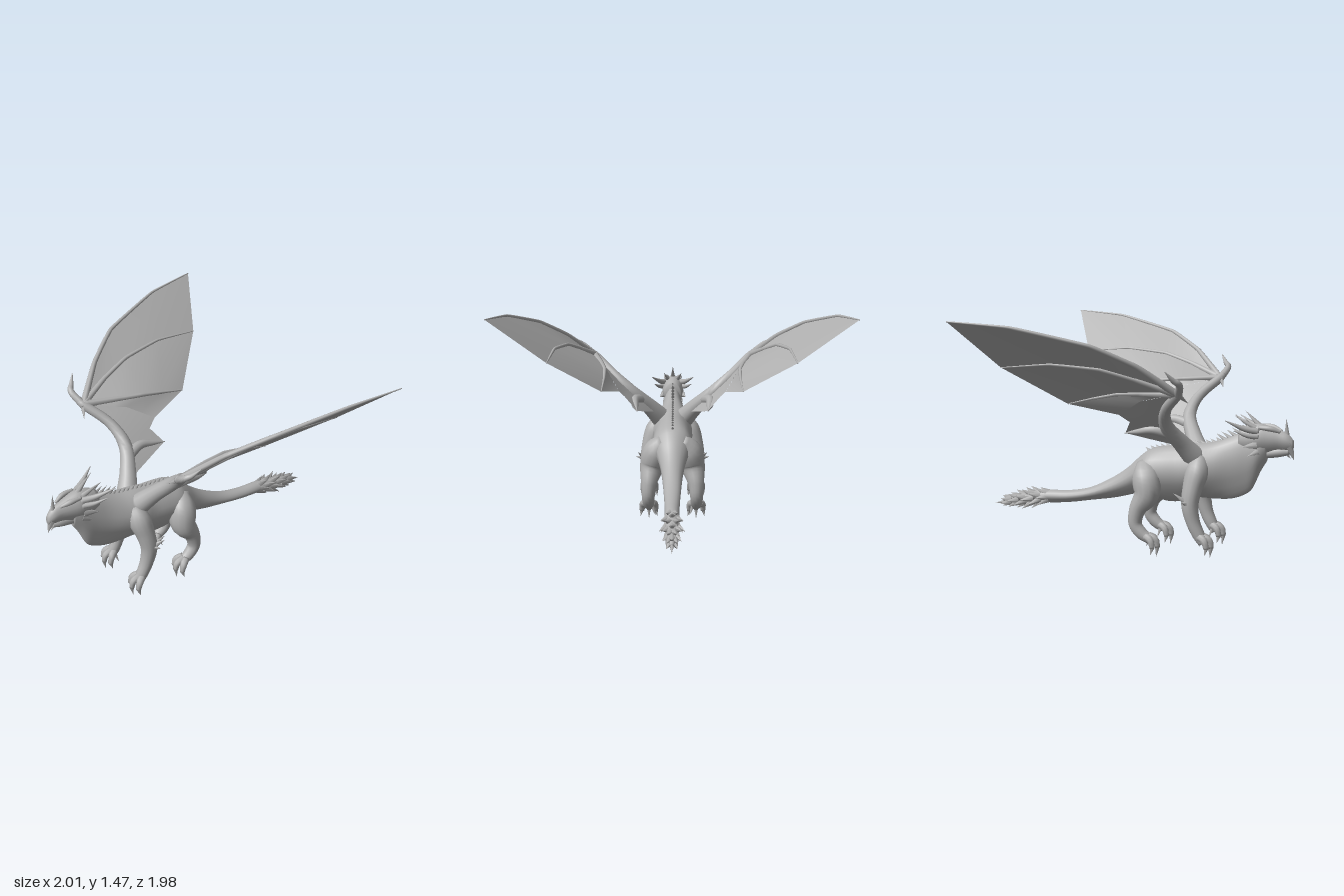
import * as THREE from 'three';

const grey = new THREE.MeshStandardMaterial({ color: 0xb0b0b0, side: THREE.DoubleSide });
grey.name = 'stone grey';
const V = (x, y, z) => new THREE.Vector3(x, y, z);

// Skin a list of equal-sized vertex rings into a capped smooth surface
function skin(rings) {
  const n = rings[0].length, pos = [], idx = [];
  rings.forEach(r => r.forEach(p => pos.push(p.x, p.y, p.z)));
  for (let i = 0; i < rings.length - 1; i++) for (let j = 0; j < n; j++) {
    const a = i * n + j, b = i * n + (j + 1) % n;
    idx.push(a, b, a + n, b, b + n, a + n);
  }
  [0, rings.length - 1].forEach((i, end) => {
    const c = rings[i].reduce((s, p) => s.add(p), V(0, 0, 0)).divideScalar(n), k = pos.length / 3;
    pos.push(c.x, c.y, c.z);
    for (let j = 0; j < n; j++) {
      const a = i * n + j, b = i * n + (j + 1) % n;
      end ? idx.push(k, a, b) : idx.push(k, b, a);
    }
  });
  return geometry(pos, idx);
}

function geometry(pos, idx) {
  const g = new THREE.BufferGeometry();
  g.setAttribute('position', new THREE.Float32BufferAttribute(pos, 3));
  g.setIndex(idx);
  g.computeVertexNormals();
  return g;
}

const smooth = (pts, tension = 0.5) => new THREE.CatmullRomCurve3(pts, false, 'catmullrom', tension);

// Body along z from rows of [z, top, bottom, half width]; belly narrows by keel
function trunk(rows, keel, steps) {
  const c = smooth(rows.map(r => V(r[0], r[1], r[2]))), w = smooth(rows.map(r => V(r[3], 0, 0)));
  const rings = [];
  for (let i = 0; i <= steps; i++) {
    const p = c.getPoint(i / steps), rx = w.getPoint(i / steps).x, ring = [];
    for (let j = 0; j < 20; j++) {
      const a = j / 20 * Math.PI * 2, s = Math.sin(a);
      const k = s < 0 ? 1 + s * keel : 1;
      ring.push(V(Math.cos(a) * rx * k, (p.y + p.z) / 2 + s * (p.y - p.z) / 2, p.x));
    }
    rings.push(ring);
  }
  return skin(rings);
}

// Tapered tube through rows of [x, y, z, radius]; side mirrors x
function limb(rows, side = 1, steps = 16, sides = 10, tension = 0.5) {
  const c = smooth(rows.map(r => V(r[0] * side, r[1], r[2])), tension), w = smooth(rows.map(r => V(r[3], 0, 0)));
  const rings = [];
  for (let i = 0; i <= steps; i++) {
    const p = c.getPoint(i / steps), t = c.getTangent(i / steps), r = Math.max(w.getPoint(i / steps).x, 0.001);
    const ref = Math.abs(t.x) > 0.9 ? V(0, 1, 0) : V(1, 0, 0);
    const u = ref.addScaledVector(t, -ref.dot(t)).normalize(), v = t.clone().cross(u);
    rings.push(Array.from({ length: sides }, (_, j) => {
      const a = j / sides * Math.PI * 2;
      return p.clone().addScaledVector(u, Math.cos(a) * r).addScaledVector(v, Math.sin(a) * r);
    }));
  }
  return skin(rings);
}

// Thin sheet between two matching polylines
function sheet(a, b, side) {
  const pos = [], idx = [];
  a.forEach((p, i) => [p, b[i]].forEach(q => pos.push(q[0] * side, q[1], q[2])));
  for (let i = 0; i < a.length - 1; i++) {
    const k = i * 2;
    idx.push(k, k + 1, k + 2, k + 1, k + 3, k + 2);
  }
  return geometry(pos, idx);
}

function spike(base, tip, r, sides = 6) {
  const a = V(...base), d = V(...tip).sub(a);
  const g = new THREE.ConeGeometry(r, d.length(), sides);
  g.translate(0, d.length() / 2, 0);
  g.applyQuaternion(new THREE.Quaternion().setFromUnitVectors(V(0, 1, 0), d.normalize()));
  return g.translate(a.x, a.y, a.z);
}

export function createModel() {
  const model = new THREE.Group();
  model.name = 'dragon';
  const add = (name, g, parent = model) => {
    const m = new THREE.Mesh(g, grey);
    m.name = name;
    parent.add(m);
  };

  // Tail, torso, deep chest and neck
  const body = [
    [-0.92, 0.265, 0.24, 0.012], [-0.75, 0.32, 0.265, 0.035], [-0.6, 0.345, 0.262, 0.042],
    [-0.45, 0.353, 0.275, 0.045], [-0.3, 0.385, 0.3, 0.052], [-0.15, 0.46, 0.325, 0.064],
    [-0.05, 0.53, 0.35, 0.08], [0.03, 0.605, 0.37, 0.105], [0.1, 0.655, 0.36, 0.13],
    [0.2, 0.68, 0.33, 0.13], [0.3, 0.69, 0.335, 0.125], [0.4, 0.705, 0.365, 0.135],
    [0.5, 0.72, 0.365, 0.113], [0.6, 0.755, 0.37, 0.085], [0.68, 0.79, 0.395, 0.07],
    [0.74, 0.805, 0.44, 0.063], [0.79, 0.81, 0.55, 0.058], [0.83, 0.8, 0.62, 0.045]];
  add('body', trunk(body, 0.4, 64));

  // Head with tapering snout, beak and lower jaw
  add('head', trunk([
    [0.66, 0.81, 0.66, 0.055], [0.72, 0.835, 0.64, 0.07], [0.78, 0.845, 0.645, 0.072],
    [0.84, 0.83, 0.66, 0.058], [0.9, 0.81, 0.68, 0.042], [0.95, 0.79, 0.685, 0.034],
    [0.985, 0.75, 0.69, 0.018]], 0.3, 20));
  add('lowerJaw', limb([[0, 0.66, 0.8, 0.03], [0, 0.675, 0.9, 0.03], [0, 0.68, 0.96, 0.018]]));
  add('beak', spike([0, 0.73, 0.955], [0, 0.63, 0.99], 0.032));
  add('chinSpike', spike([0, 0.7, 0.92], [0, 0.64, 0.97], 0.025));
  add('noseHorn', spike([0, 0.77, 0.945], [0, 0.88, 0.94], 0.018));
  add('crownHorn', spike([0, 0.82, 0.79], [0, 0.92, 0.69], 0.02));

  // Ridge of low plates along the neck and back
  const ridge = new THREE.Group();
  ridge.name = 'backRidge';
  model.add(ridge);
  for (let i = 0; i < 20; i++) {
    const z = 0.7 - i * 0.032;
    const k = body.findIndex(r => r[0] > z), a = body[k - 1], b = body[k];
    const y = a[1] + (b[1] - a[1]) * (z - a[0]) / (b[0] - a[0]);
    const h = z > 0.55 ? 0.06 : 0.03;
    add('ridgePlate', spike([0, y - 0.012, z], [0, y + h * 0.45, z - h], 0.014, 5), ridge);
  }

  // Rings of broad spikes around the tail tip
  const club = new THREE.Group();
  club.name = 'tailSpikes';
  model.add(club);
  for (let i = 0; i < 6; i++) {
    const z = -0.6 - i * 0.052, y = 0.305 - i * 0.009;
    const r = [0.062, 0.075, 0.074, 0.062, 0.05, 0.036][i];
    for (let j = 0; j < 6; j++) {
      const a = (j + (i % 2) / 2) / 6 * Math.PI * 2, c = Math.cos(a), s = Math.sin(a);
      add('tailSpike', spike([c * r * 0.3, y + s * r * 0.3, z], [c * r, y - 0.008 + s * r, z - 0.07], 0.027, 5), club);
    }
  }
  add('tailPoint', spike([0, 0.26, -0.85], [0, 0.23, -0.985], 0.022));

  for (const s of [1, -1]) {
    const side = s > 0 ? 'left' : 'right';
    const group = name => {
      const g = new THREE.Group();
      g.name = side + name;
      model.add(g);
      return g;
    };
    const m = p => [p[0] * s, p[1], p[2]];

    // Horns, brow and cheek frill
    const horns = group('Horns');
    add('mainHorn', limb([[0.045, 0.8, 0.78, 0.02], [0.085, 0.82, 0.7, 0.016], [0.14, 0.87, 0.6, 0.002]], s), horns);
    add('sideHorn', limb([[0.055, 0.77, 0.78, 0.018], [0.09, 0.78, 0.72, 0.013], [0.125, 0.81, 0.65, 0.002]], s), horns);
    add('upperHorn', spike(m([0.03, 0.82, 0.76]), m([0.06, 0.89, 0.64]), 0.017), horns);
    add('cheekSpike', spike(m([0.055, 0.72, 0.77]), m([0.09, 0.71, 0.69]), 0.028), horns);
    add('jawSpike', spike(m([0.045, 0.68, 0.78]), m([0.07, 0.65, 0.72]), 0.022), horns);
    add('brow', limb([[0.028, 0.8, 0.91, 0.008], [0.046, 0.82, 0.85, 0.016], [0.05, 0.825, 0.78, 0.01]], s), horns);

    // Legs
    const front = group('FrontLeg'), hind = group('HindLeg');
    add('foreleg', limb([[0.07, 0.63, 0.43, 0.045], [0.11, 0.55, 0.425, 0.07], [0.145, 0.45, 0.405, 0.06],
      [0.163, 0.35, 0.395, 0.052], [0.163, 0.25, 0.415, 0.043], [0.16, 0.17, 0.45, 0.038], [0.16, 0.12, 0.48, 0.03]], s, 28, 14), front);
    for (const [x, y, z] of [[0.23, 0.42, 0.32], [0.245, 0.38, 0.36], [0.2, 0.425, 0.3]])
      add('elbowSpike', spike(m([0.18, 0.36, 0.39]), m([x, y, z]), 0.024), front);
    add('haunch', limb([[0.045, 0.57, 0.07, 0.05], [0.1, 0.49, 0.1, 0.088], [0.13, 0.39, 0.11, 0.08],
      [0.15, 0.3, 0.06, 0.053], [0.155, 0.21, 0.045, 0.042], [0.155, 0.15, 0.085, 0.038], [0.155, 0.115, 0.14, 0.03]], s, 28, 14), hind);

    // Three splayed toes with long claws, and a small one behind
    const foot = (parent, x, y, z) => {
      for (const k of [-1, 0, 1]) {
        const tx = x + k * 0.045, zz = z + 0.045 - Math.abs(k) * 0.02;
        add('toe', limb([[x + k * 0.015, y + 0.03, z - 0.025, 0.026], [x + k * 0.04, y + 0.012, zz - 0.015, 0.022], [tx, y - 0.035, zz, 0.016]], s, 8, 8), parent);
        add('claw', spike(m([tx, y - 0.025, zz]), m([tx + k * 0.01, y - 0.1 + Math.abs(k) * 0.025, zz - 0.01]), 0.016), parent);
      }
      add('backClaw', spike(m([x - 0.02, y + 0.02, z - 0.02]), m([x - 0.045, y - 0.05, z - 0.04]), 0.016), parent);
    };
    foot(front, 0.16, 0.13, 0.485);
    foot(hind, 0.155, 0.105, 0.145);

    // Wing arm, fingers and thumb claws
    const wing = group('Wing');
    const wrist = [0.51, 1.06, 0.41];
    const f1 = [wrist, [0.67, 1.225, 0.22], [0.81, 1.34, 0], [0.94, 1.44, -0.41], [1, 1.47, -0.755]];
    const f2 = [wrist, [0.59, 1.14, 0.2], [0.645, 1.2, 0], [0.69, 1.225, -0.28], [0.7, 1.2, -0.58]];
    const f3 = [wrist, [0.45, 1.05, 0.18], [0.42, 1.04, 0.03], [0.415, 1.01, -0.12], [0.42, 0.97, -0.285]];
    const arm = [wrist, [0.42, 0.98, 0.345], [0.35, 0.92, 0.27], [0.28, 0.86, 0.25], [0.2, 0.79, 0.28], [0.1, 0.69, 0.35]];
    const edge = [wrist, [0.41, 1.0, 0.16], [0.33, 0.905, 0], [0.3, 0.86, 0.06], [0.22, 0.78, 0.005], [0.185, 0.75, 0.12]];
    add('wingArm', limb([[0.06, 0.62, 0.4, 0.07], [0.15, 0.73, 0.33, 0.052], [0.26, 0.84, 0.275, 0.042],
      [0.38, 0.95, 0.305, 0.032], [0.5, 1.05, 0.405, 0.028], [0.53, 1.08, 0.43, 0.018]], s, 24, 12), wing);
    add('wingMuscle', limb([[0.21, 0.79, 0.28, 0.035], [0.24, 0.81, 0.18, 0.03], [0.235, 0.795, 0.09, 0.02], [0.22, 0.78, 0, 0.002]], s), wing);
    [f1, f2, f3].forEach((f, i) => add('wingFinger',
      limb(f.map((p, j) => [...p, [0.024, 0.016, 0.013, 0.009, 0.003][j]]), s, 24, 7, 0.15), wing));
    add('thumbClaw', limb([[0.5, 1.05, 0.41, 0.026], [0.59, 1.12, 0.445, 0.02], [0.63, 1.15, 0.42, 0.015], [0.67, 1.2, 0.385, 0.002]], s), wing);
    add('wristSpike', spike(m([0.5, 1.05, 0.42]), m([0.43, 1.0, 0.455]), 0.016), wing);

    // Membranes from finger to finger and back to the body
    add('outerMembrane', sheet(f1, f2, s), wing);
    add('middleMembrane', sheet(f2, f3, s), wing);
    add('innerMembrane', sheet(f3, [wrist, [0.43, 1.02, 0.24], edge[1], [0.37, 0.95, 0.08], edge[2]], s), wing);
    add('armMembrane', sheet(arm, edge, s), wing);
  }
  return model;
}
